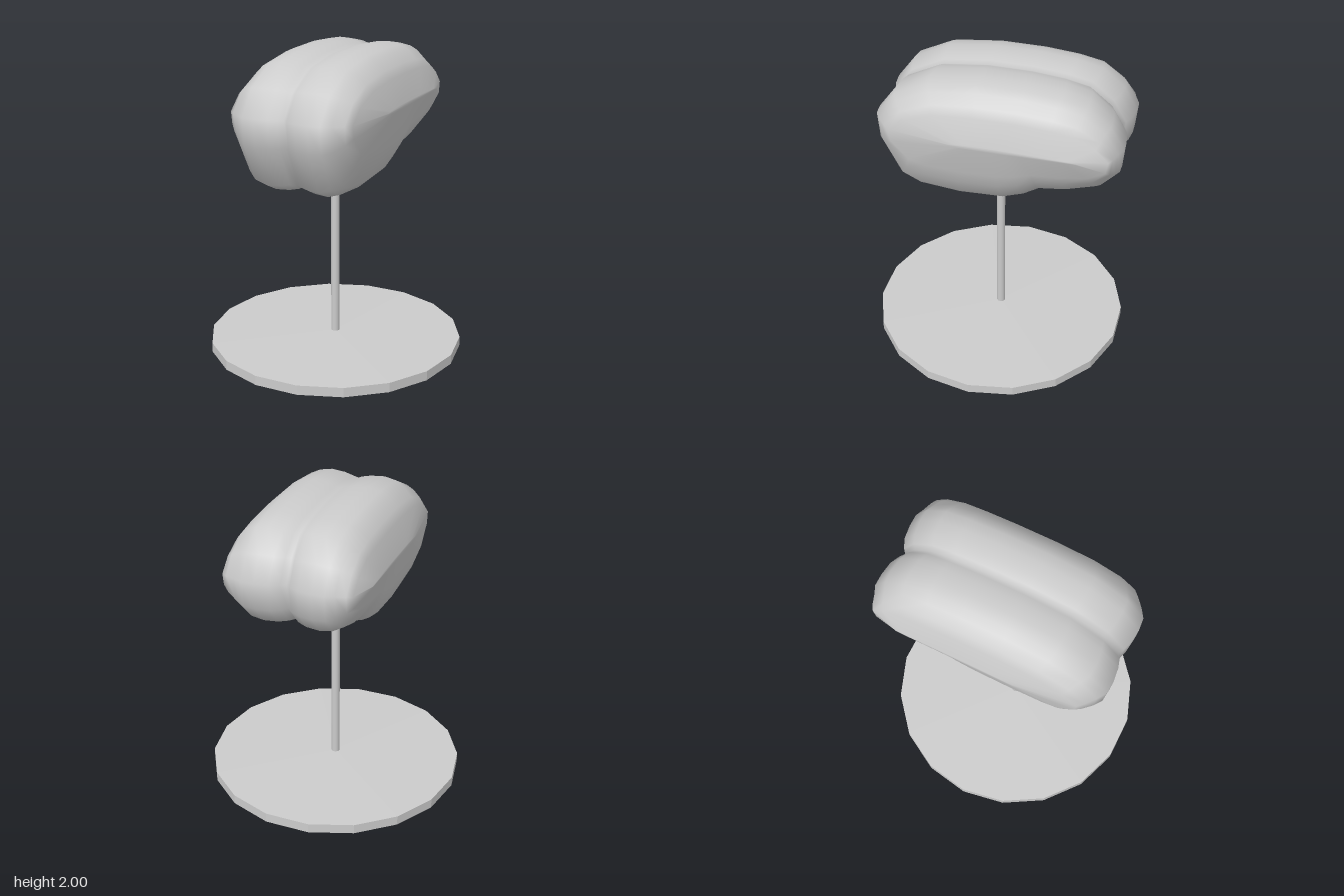
import * as THREE from 'three';

// Side outline of the body at the crest of a lobe, as [z, y]
const OUTLINE = [
  [0.725, 1.68], [0.605, 1.845], [0.385, 1.96], [0.08, 2.0], [-0.21, 2.0], [-0.43, 1.98],
  [-0.59, 1.945], [-0.73, 1.83], [-0.815, 1.68], [-0.8, 1.51], [-0.69, 1.385], [-0.5, 1.315],
  [-0.315, 1.285], [-0.21, 1.215], [-0.08, 1.165], [0.2, 1.15], [0.46, 1.175], [0.58, 1.235],
  [0.71, 1.5],
];

// Slices from the centre groove to the outer side:
// x, then the outline's scale towards top, bottom, front and back
const SLICES = [
  [0, 0.9, 0.93, 0.93, 0.92],
  [0.03, 0.94, 0.965, 0.96, 0.95],
  [0.09, 0.98, 0.99, 0.985, 0.985],
  [0.18, 1, 1, 1, 1],
  [0.26, 0.95, 0.95, 0.99, 1],
  [0.315, 0.87, 0.855, 0.94, 0.97],
  [0.375, 0.69, 0.635, 0.87, 0.945],
  [0.41, 0.53, 0.44, 0.82, 0.92],
  [0.46, 0.04, 0.03, 0.28, 0.7],
];
const MID_Y = 1.67;

// Two-lobed body, lofted from one side to the other
function lobesGeometry() {
  const mirrored = SLICES.slice(1).reverse().map(([x, ...s]) => [-x, ...s]);
  const slices = [...mirrored, ...SLICES];
  const n = OUTLINE.length;
  const positions = [];
  const index = [];
  for (const [x, top, bottom, front, back] of slices) {
    for (const [z, y] of OUTLINE) {
      const dy = y - MID_Y;
      positions.push(x, MID_Y + dy * (dy > 0 ? top : bottom), z * (z > 0 ? front : back));
    }
  }
  for (let i = 0; i < slices.length - 1; i++) {
    for (let j = 0; j < n; j++) {
      const k = (j + 1) % n;
      const a = i * n + j, b = i * n + k;
      index.push(a, a + n, b, b, a + n, b + n);
    }
  }
  // Close the narrow outer slices
  const last = (slices.length - 1) * n;
  const centre = positions.length / 3;
  positions.push(-0.46, MID_Y, -0.18, 0.46, MID_Y, -0.18);
  for (let j = 0; j < n; j++) {
    const k = (j + 1) % n;
    index.push(centre, j, k, centre + 1, last + k, last + j);
  }
  const geometry = new THREE.BufferGeometry();
  geometry.setAttribute('position', new THREE.Float32BufferAttribute(positions, 3));
  geometry.setIndex(index);
  geometry.computeVertexNormals();
  return geometry;
}

export function createModel() {
  const group = new THREE.Group();
  const smooth = new THREE.MeshStandardMaterial({ color: 0xcccccc });
  const flat = new THREE.MeshStandardMaterial({ color: 0xcccccc, flatShading: true });

  const add = (name, geometry, material) => {
    const mesh = new THREE.Mesh(geometry, material);
    mesh.name = name;
    group.add(mesh);
    return mesh;
  };

  // Round base with a very slightly raised centre
  const profile = [[0, 0], [0.835, 0], [0.835, 0.063], [0, 0.077]].map(([r, y]) => new THREE.Vector2(r, y));
  add('base', new THREE.LatheGeometry(profile, 18), flat).rotation.y = Math.PI / 2;

  // Thin post running up into the body
  add('post', new THREE.CylinderGeometry(0.028, 0.028, 1.17, 12), smooth).position.y = 0.645;

  add('lobes', lobesGeometry(), smooth);
  return group;
}
